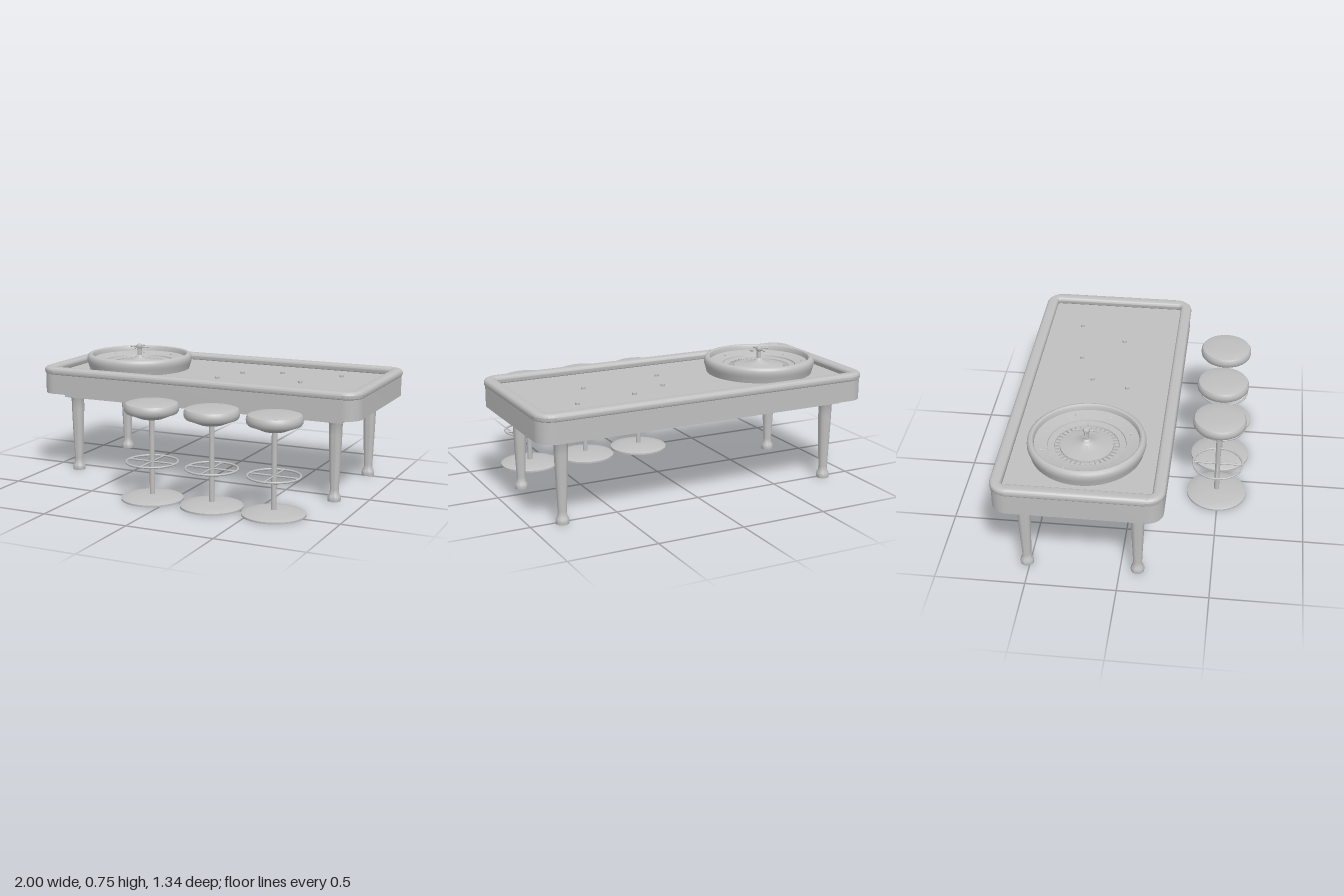
import * as THREE from 'three';
import { toCreasedNormals } from 'three/addons/utils/BufferGeometryUtils.js';

const grey = new THREE.MeshStandardMaterial({ color: 0xbfbfbf });
grey.name = 'plain grey';

function add(parent, name, geometry, x = 0, y = 0, z = 0) {
  const mesh = new THREE.Mesh(geometry, grey);
  mesh.name = name;
  mesh.position.set(x, y, z);
  parent.add(mesh);
  return mesh;
}

// Turned part from [radius, height] pairs, listed from the bottom up
function turned(points, segments = 32, crease = 0.6) {
  const profile = points.map(([r, y]) => new THREE.Vector2(r, y));
  return toCreasedNormals(new THREE.LatheGeometry(profile, segments), crease);
}

function roundedRect(hx, hz, r, Type = THREE.Shape) {
  const s = new Type();
  s.moveTo(hx, -hz + r);
  s.absarc(hx - r, hz - r, r, 0, Math.PI / 2);
  s.absarc(-hx + r, hz - r, r, Math.PI / 2, Math.PI);
  s.absarc(-hx + r, -hz + r, r, Math.PI, Math.PI * 1.5);
  s.absarc(hx - r, -hz + r, r, Math.PI * 1.5, Math.PI * 2);
  return s;
}

// Extrude a plan shape upward from y = 0
function slab(shape, depth, options = {}) {
  const g = new THREE.ExtrudeGeometry(shape, { depth, bevelEnabled: false, curveSegments: 10, ...options });
  g.rotateX(-Math.PI / 2);
  return toCreasedNormals(g, 0.6);
}

function buildTable() {
  const table = new THREE.Group();
  table.name = 'table';
  table.position.z = -0.21;

  add(table, 'tableBody', slab(roundedRect(0.993, 0.453, 0.09), 0.117), 0, 0.488, 0);
  add(table, 'apron', new THREE.BoxGeometry(1.76, 0.04, 0.73), 0, 0.475, 0);

  // Padded rail around the playing surface
  const rail = roundedRect(0.98, 0.44, 0.08);
  rail.holes.push(roundedRect(0.95, 0.413, 0.035, THREE.Path));
  add(table, 'rail', slab(rail, 0.006, {
    bevelEnabled: true, bevelSize: 0.02, bevelThickness: 0.02, bevelSegments: 6,
  }), 0, 0.62, 0);

  // Turned legs with flared feet
  const leg = turned([[0, 0], [0.036, 0], [0.038, 0.015], [0.035, 0.03], [0.026, 0.045], [0.025, 0.07],
    [0.033, 0.25], [0.037, 0.38], [0.038, 0.44], [0.042, 0.448], [0.042, 0.47]], 24);
  for (const x of [-0.825, 0.825])
    for (const z of [-0.307, 0.307]) add(table, 'leg', leg, x, 0, z);
  return table;
}

function buildWheel() {
  const wheel = new THREE.Group();
  wheel.name = 'wheel';
  wheel.position.set(-0.56, 0, -0.207);

  // Outer bowl, sloping ball track and sunken rotor
  add(wheel, 'bowl', turned([[0.305, 0.6], [0.316, 0.64], [0.321, 0.655], [0.321, 0.672], [0.317, 0.686],
    [0.308, 0.694], [0.298, 0.696], [0.29, 0.692], [0.286, 0.684], [0.284, 0.664], [0.213, 0.648],
    [0.211, 0.641], [0.176, 0.638], [0.174, 0.63], [0.146, 0.63], [0.144, 0.641], [0.09, 0.65],
    [0.038, 0.66], [0.03, 0.668], [0.02, 0.672], [0, 0.672]], 64));

  // Pocket dividers
  const divider = new THREE.BoxGeometry(0.03, 0.01, 0.003);
  const deflector = new THREE.OctahedronGeometry(0.011).scale(1, 0.5, 0.4);
  for (let i = 0; i < 37; i++) {
    const a = (i / 37) * Math.PI * 2;
    add(wheel, 'divider', divider, Math.cos(a) * 0.16, 0.634, -Math.sin(a) * 0.16).rotation.y = a;
  }

  // Ball deflectors, alternately radial and tangential
  for (let i = 0; i < 8; i++) {
    const a = ((i + 0.5) / 8) * Math.PI * 2;
    const d = add(wheel, 'deflector', deflector, Math.cos(a) * 0.25, 0.659, -Math.sin(a) * 0.25);
    d.rotation.y = a + (i % 2) * Math.PI / 2;
  }
  add(wheel, 'ball', new THREE.SphereGeometry(0.008, 16, 10), 0.016, 0.638, 0.16);

  // Central turret with four-armed handle
  add(wheel, 'turret', turned([[0.03, 0.66], [0.024, 0.675], [0.014, 0.682], [0.013, 0.722], [0.019, 0.73],
    [0.02, 0.738], [0.016, 0.747], [0.008, 0.751], [0, 0.752]], 24));
  const arm = new THREE.CylinderGeometry(0.0035, 0.0035, 0.116, 10);
  add(wheel, 'handle', arm, 0, 0.733, 0).rotation.z = Math.PI / 2;
  add(wheel, 'handle', arm, 0, 0.733, 0).rotation.x = Math.PI / 2;
  const knob = new THREE.SphereGeometry(0.006, 12, 8);
  for (let i = 0; i < 4; i++) {
    const a = i * Math.PI / 2;
    add(wheel, 'handleKnob', knob, Math.cos(a) * 0.057, 0.733, Math.sin(a) * 0.057);
  }
  return wheel;
}

function buildStool(x) {
  const stool = new THREE.Group();
  stool.name = 'stool';
  stool.position.set(x, 0, 0.49);
  add(stool, 'base', turned([[0, 0], [0.175, 0], [0.175, 0.01], [0.168, 0.014], [0.12, 0.022],
    [0.06, 0.028], [0, 0.03]], 48));
  add(stool, 'pole', new THREE.CylinderGeometry(0.015, 0.015, 0.45, 20), 0, 0.245, 0);
  add(stool, 'seat', turned([[0, 0.46], [0.05, 0.46], [0.065, 0.463], [0.125, 0.488], [0.143, 0.494], [0.151, 0.505],
    [0.153, 0.52], [0.151, 0.536], [0.144, 0.547], [0.125, 0.553], [0.07, 0.557], [0, 0.558]], 48));

  // Footrest ring with crossed spokes
  add(stool, 'footrest', new THREE.TorusGeometry(0.144, 0.006, 10, 48).rotateX(Math.PI / 2), 0, 0.215, 0);
  const spoke = new THREE.CylinderGeometry(0.005, 0.005, 0.288, 10);
  add(stool, 'spoke', spoke, 0, 0.215, 0).rotation.z = Math.PI / 2;
  add(stool, 'spoke', spoke, 0, 0.215, 0).rotation.x = Math.PI / 2;
  return stool;
}

export function createModel() {
  const model = new THREE.Group();
  model.name = 'gamingTable';
  model.add(buildTable(), buildWheel());
  for (const x of [-0.111, 0.255, 0.621]) model.add(buildStool(x));

  // Loose chips on the playing surface
  const chip = new THREE.CylinderGeometry(0.013, 0.013, 0.012, 20);
  for (const [x, z] of [[0.105, -0.27], [0.035, -0.057], [0.527, -0.13], [0.325, -0.365], [0.68, -0.41]])
    add(model, 'chip', chip, x, 0.611, z);
  return model;
}
